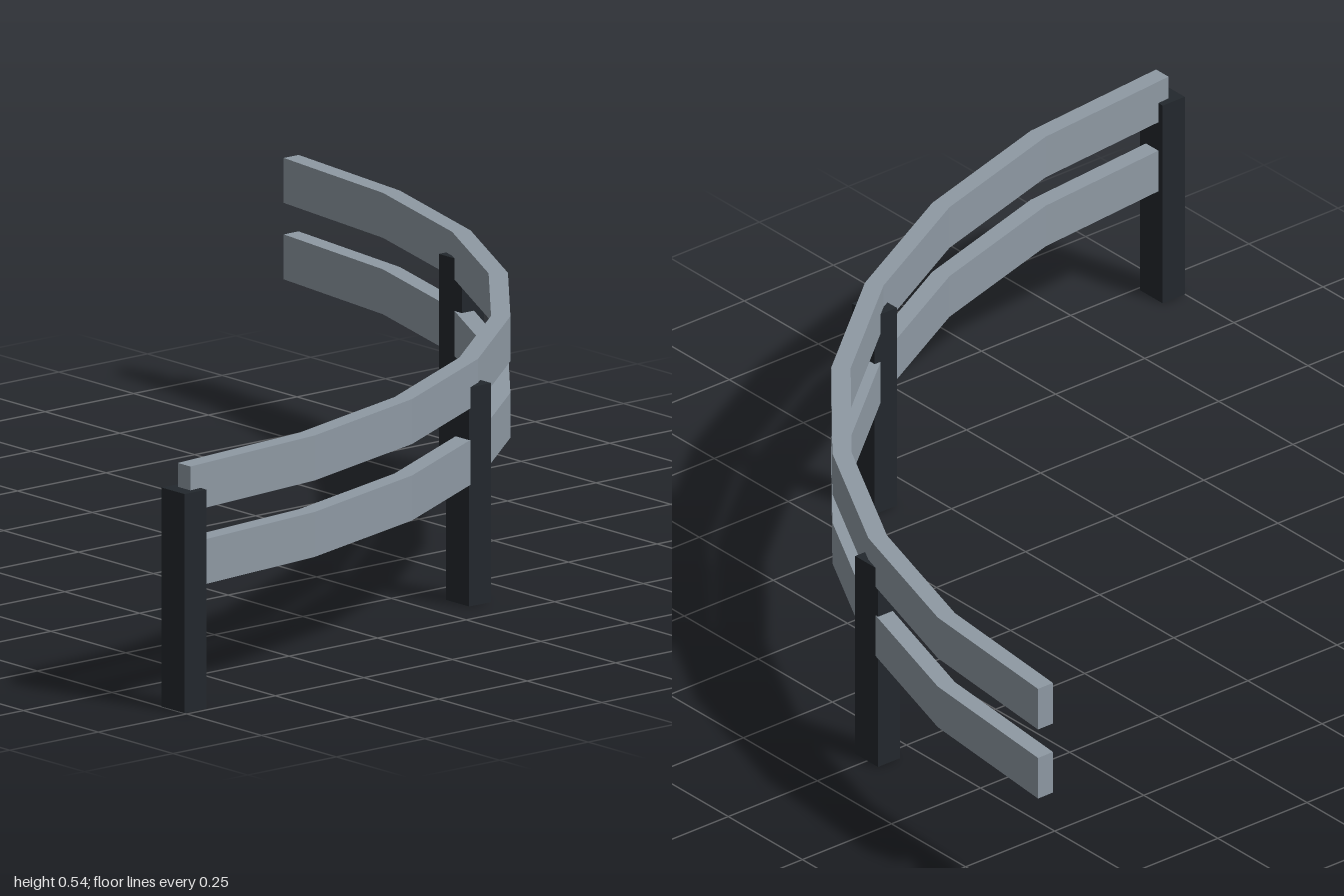
import * as THREE from 'three';

const SEGMENTS = 8;
const RADIUS = 1.945;
const CENTRE = { x: -0.968, z: -0.992 };

// Point on the quarter arc at joint k, for a given radius
function arcPoint(k, radius) {
  const a = (k / SEGMENTS) * Math.PI / 2;
  return { x: CENTRE.x + radius * Math.sin(a), z: CENTRE.z + radius * Math.cos(a) };
}

// Faceted curved rail: a plan-view band extruded upwards
function railGeometry(height, halfThickness) {
  const outline = [];
  for (let k = 0; k <= SEGMENTS; k++) {
    const p = arcPoint(k, RADIUS + halfThickness);
    outline.push(new THREE.Vector2(p.x, -p.z));
  }
  for (let k = SEGMENTS; k >= 0; k--) {
    const p = arcPoint(k, RADIUS - halfThickness);
    outline.push(new THREE.Vector2(p.x, -p.z));
  }
  const geometry = new THREE.ExtrudeGeometry(new THREE.Shape(outline), { depth: height, bevelEnabled: false });
  return geometry.rotateX(-Math.PI / 2);
}

export function createModel() {
  const model = new THREE.Group();
  model.name = 'curvedGuardRail';
  const railMaterial = new THREE.MeshStandardMaterial({ color: 0x8e99a3, flatShading: true });
  const postMaterial = new THREE.MeshStandardMaterial({ color: 0x23282d, flatShading: true });

  // Two parallel rails
  const rail = railGeometry(0.1, 0.021);
  [['lowerRail', 0.27], ['upperRail', 0.44]].forEach(([name, y]) => {
    const mesh = new THREE.Mesh(rail, railMaterial);
    mesh.name = name;
    mesh.position.y = y;
    model.add(mesh);
  });

  // Posts on every third joint, all square to the axes
  const postHeight = 0.487;
  const post = new THREE.BoxGeometry(0.062, postHeight, 0.077);
  [0, 3, 6].forEach((k, i) => {
    const p = arcPoint(k, RADIUS);
    const mesh = new THREE.Mesh(post, postMaterial);
    mesh.name = `post${i + 1}`;
    mesh.position.set(p.x, postHeight / 2, p.z);
    model.add(mesh);
  });

  return model;
}
